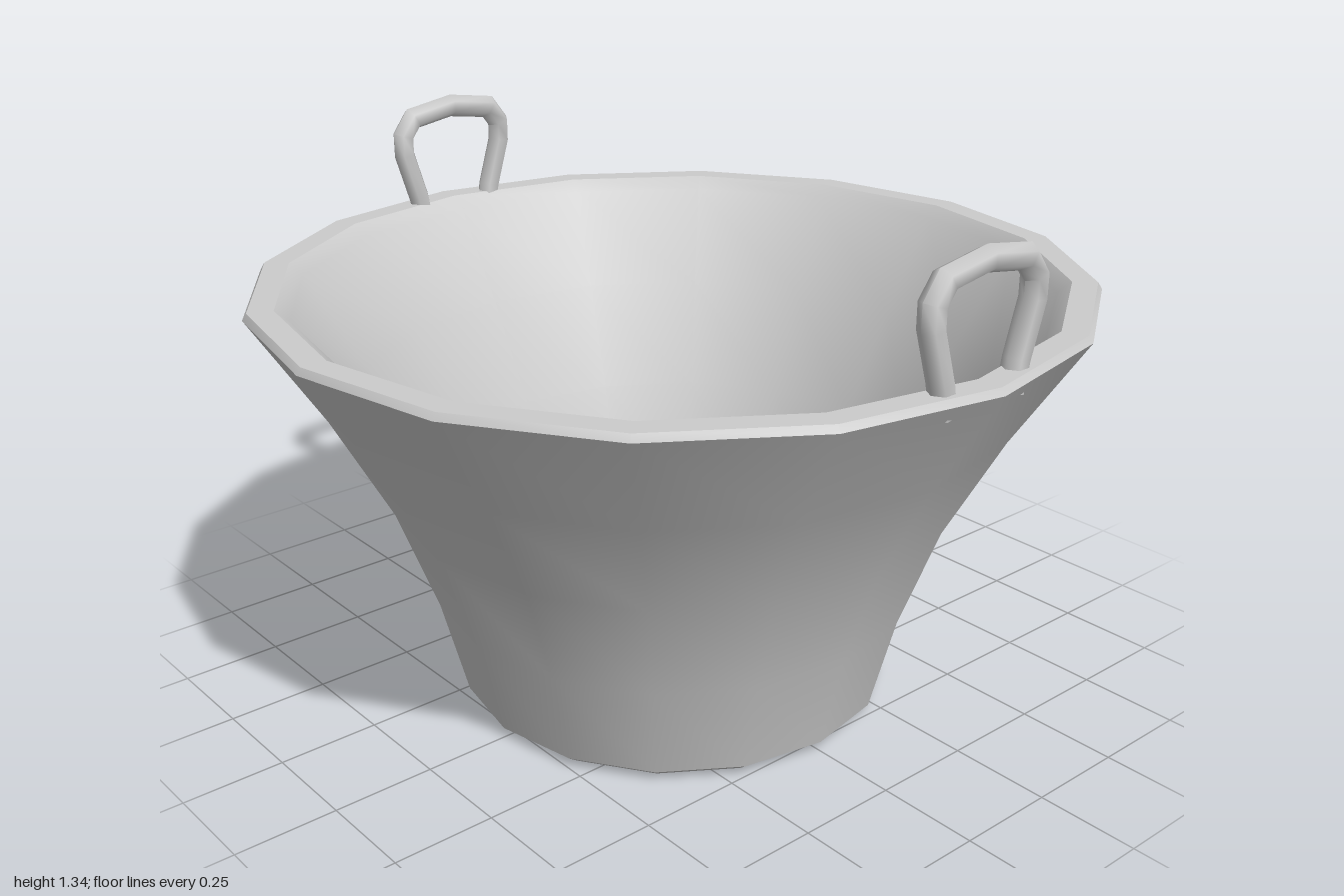
import * as THREE from 'three';
import { toCreasedNormals } from 'three/addons/utils/BufferGeometryUtils.js';

const SIDES = 16;
const material = new THREE.MeshStandardMaterial({ color: 0xcccccc });

// Sweeps a hexagonal section along a path in the XY plane, with mitred bends.
function sweep(path, radius, sides = 6) {
  const positions = [], index = [];
  const dir = (a, b) => b.clone().sub(a).normalize();
  path.forEach((p, i) => {
    const before = i > 0 ? dir(path[i - 1], p) : dir(p, path[1]);
    const after = i < path.length - 1 ? dir(p, path[i + 1]) : before;
    const t = before.clone().add(after).normalize();
    const mitre = radius / t.dot(after);
    for (let s = 0; s < sides; s++) {
      const a = (s / sides) * Math.PI * 2;
      const out = Math.cos(a) * mitre;
      positions.push(p.x - t.y * out, p.y + t.x * out, Math.sin(a) * radius);
    }
  });
  for (let i = 0; i < path.length - 1; i++) {
    for (let s = 0; s < sides; s++) {
      const a = i * sides + s, b = i * sides + (s + 1) % sides;
      index.push(a, b, a + sides, b, b + sides, a + sides);
    }
  }
  // end caps
  const last = (path.length - 1) * sides;
  for (let s = 1; s < sides - 1; s++) {
    index.push(0, s + 1, s, last, last + s, last + s + 1);
  }
  const geometry = new THREE.BufferGeometry();
  geometry.setAttribute('position', new THREE.Float32BufferAttribute(positions, 3));
  geometry.setIndex(index);
  return toCreasedNormals(geometry, 1.2);
}

export function createModel() {
  const model = new THREE.Group();
  model.name = 'tub';

  // Flared body: underside, outer wall, bevelled rim, inner wall, floor
  const profile = [
    [0, 0], [0.505, 0], [0.538, 0.025],
    [0.6, 0.27], [0.695, 0.53], [0.832, 0.785], [1, 1.047],
    [0.99, 1.063], [0.93, 1.063], [0.897, 1.035],
    [0.755, 0.8], [0.62, 0.545], [0.525, 0.285], [0.455, 0.05], [0, 0.05],
  ].map(([r, y]) => new THREE.Vector2(r, y));
  const body = new THREE.Mesh(
    toCreasedNormals(new THREE.LatheGeometry(profile, SIDES), 0.55), material);
  body.name = 'body';
  model.add(body);

  // Loop handles standing on the rim at front and back
  const half = [[0.102, 1.01], [0.115, 1.08], [0.152, 1.2], [0.152, 1.25], [0.12, 1.293]];
  const path = [
    ...half, [0, 1.312], ...half.map(([x, y]) => [-x, y]).reverse(),
  ].map(([x, y]) => new THREE.Vector2(x, y));
  const loop = sweep(path, 0.029);
  for (const [name, z] of [['frontHandle', 0.93], ['backHandle', -0.93]]) {
    const handle = new THREE.Mesh(loop, material);
    handle.name = name;
    handle.position.z = z;
    model.add(handle);
  }
  return model;
}
